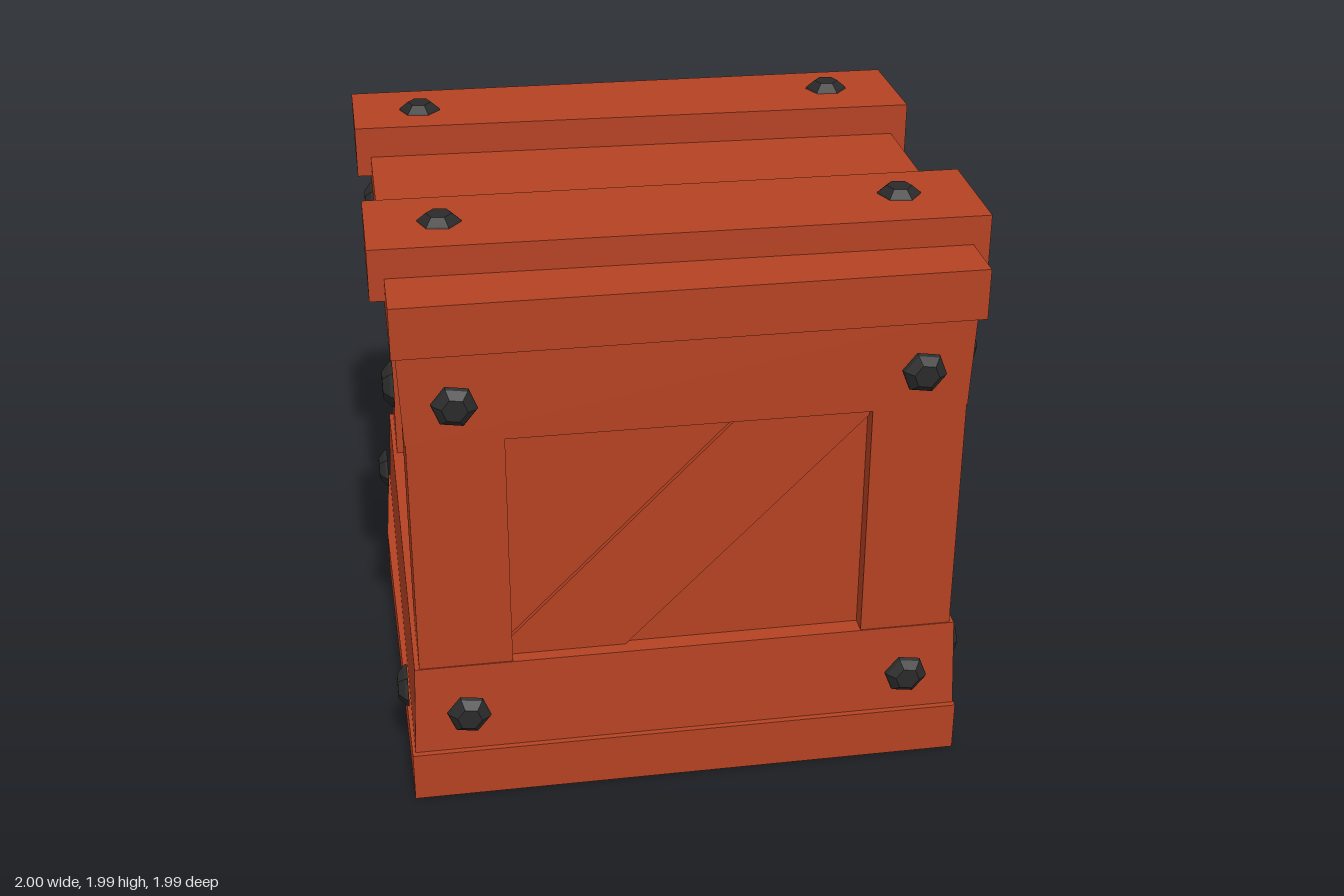
import * as THREE from 'three';

const wood = new THREE.MeshStandardMaterial({ color: 0xb54223 });
wood.name = 'redWood';
const iron = new THREE.MeshStandardMaterial({ color: 0x2a2a2a });
iron.name = 'darkIron';

function addMesh(parent, name, geometry, material) {
  const flat = geometry.index ? geometry.toNonIndexed() : geometry;
  flat.computeVertexNormals();
  const mesh = new THREE.Mesh(flat, material);
  mesh.name = name;
  parent.add(mesh);
  return mesh;
}

// Box between two corners, with an optional rule that moves its vertices
function block(parent, name, [x0, x1], [y0, y1], [z0, z1], warp) {
  const g = new THREE.BoxGeometry(x1 - x0, y1 - y0, z1 - z0);
  g.translate((x0 + x1) / 2, (y0 + y1) / 2, (z0 + z1) / 2);
  if (warp) {
    const p = g.attributes.position;
    const v = new THREE.Vector3();
    for (let i = 0; i < p.count; i++) {
      warp(v.fromBufferAttribute(p, i));
      p.setXYZ(i, v.x, v.y, v.z);
    }
  }
  return addMesh(parent, name, g, wood);
}

// Six-sided bolt head standing on y = 0
function bolt(parent, x, y, z) {
  const profile = [[0, 0], [0.076, 0], [0.07, 0.012], [0.042, 0.035], [0, 0.035]];
  const g = new THREE.LatheGeometry(profile.map(([r, h]) => new THREE.Vector2(r, h)), 6);
  g.rotateY(1.42);
  const mesh = addMesh(parent, 'bolt', g, iron);
  mesh.position.set(x, y, z);
  return mesh;
}

// The upper boards sag slightly towards the back
const sag = (v) => { v.y -= 0.015 * (0.95 - v.z); };

export function createModel() {
  const crate = new THREE.Group();
  crate.name = 'crate';

  // Bottom slab with slightly bowed sides
  const outline = [[-0.96, 0.96], [0.943, 0.96], [0.98, -0.5], [0.958, -0.94],
    [0.4, -0.945], [-0.63, -0.99], [-0.955, -0.962], [-0.98, -0.5]];
  const footprint = new THREE.Shape(outline.map(([x, z]) => new THREE.Vector2(x, -z)));
  const base = new THREE.ExtrudeGeometry(footprint, { depth: 0.18, bevelEnabled: false });
  base.rotateX(-Math.PI / 2);
  addMesh(crate, 'baseSlab', base, wood);

  // Body: recessed core, horizontal bands and corner posts
  const body = new THREE.Group();
  body.name = 'body';
  body.position.set(-0.005, 0, 0.01);
  crate.add(body);
  block(body, 'innerPanels', [-0.852, 0.852], [0.15, 1.67], [-0.852, 0.852]);
  block(body, 'lowerBand', [-0.945, 0.945], [0.17, 0.51], [-0.948, 0.93], (v) => {
    if (v.y > 0.3) {
      v.x *= 0.985;
      v.z *= 0.985;
      if (v.z < 0) v.y -= 0.02;
    }
  });
  block(body, 'upperBand', [-0.932, 0.932], [1.365, 1.7], [-0.938, 0.912], (v) => {
    if (v.y < 1.5) {
      v.x *= 0.985;
      if (v.z < 0) v.z *= 0.985;
      v.y -= v.z < 0 ? 0.01 : 0;
    } else sag(v);
  });
  for (const sx of [-1, 1]) {
    for (const sz of [-1, 1]) {
      const post = block(body, 'cornerPost', [0.6, 0.915], [0.48, 1.39], [0.6, 0.912]);
      post.position.set(sx < 0 ? -1.515 : 0, 0, sz < 0 ? -1.512 : 0);
    }
  }

  // Each side: one diagonal brace and four bolts
  const braceShape = [[-0.61, 0.49], [-0.23, 0.49], [0.61, 1.34], [0.61, 1.38], [0.185, 1.38], [-0.61, 0.57]];
  ['front', 'right', 'back', 'left'].forEach((side, i) => {
    const face = new THREE.Group();
    face.name = side + 'Face';
    face.rotation.y = i * Math.PI / 2;
    body.add(face);
    const flip = i % 2 ? -1 : 1;
    const shape = new THREE.Shape(braceShape.map(([x, y]) => new THREE.Vector2(x * flip, y)));
    const brace = new THREE.ExtrudeGeometry(shape, { depth: 0.03, bevelEnabled: false });
    brace.translate(0, 0, 0.84);
    addMesh(face, 'diagonalBrace', brace, wood);
    for (const x of [-0.757, 0.757]) {
      bolt(face, x, 1.51, 0.937).rotation.x = Math.PI / 2;
      bolt(face, x, 0.34, 0.953).rotation.x = Math.PI / 2;
    }
  });

  // Lid and the two skewed boards on top
  block(crate, 'lid', [-0.95, 0.945], [1.69, 1.865], [-0.95, 0.96], sag);
  block(crate, 'frontTopBoard', [-1, 1], [1.785, 1.962], [0.345, 0.745], (v) => { v.z += 0.015 * v.x; });
  block(crate, 'backTopBoard', [-1, 1], [1.775, 1.955], [-0.735, -0.32], (v) => {
    if (v.z < -0.5) v.y -= 0.013;
    v.z += (v.z < -0.5 ? 0.017 : 0.03) * v.x;
  });
  for (const x of [-0.76, 0.75]) {
    bolt(crate, x, 1.955, 0.535);
    bolt(crate, x, 1.945, -0.525);
  }
  return crate;
}
